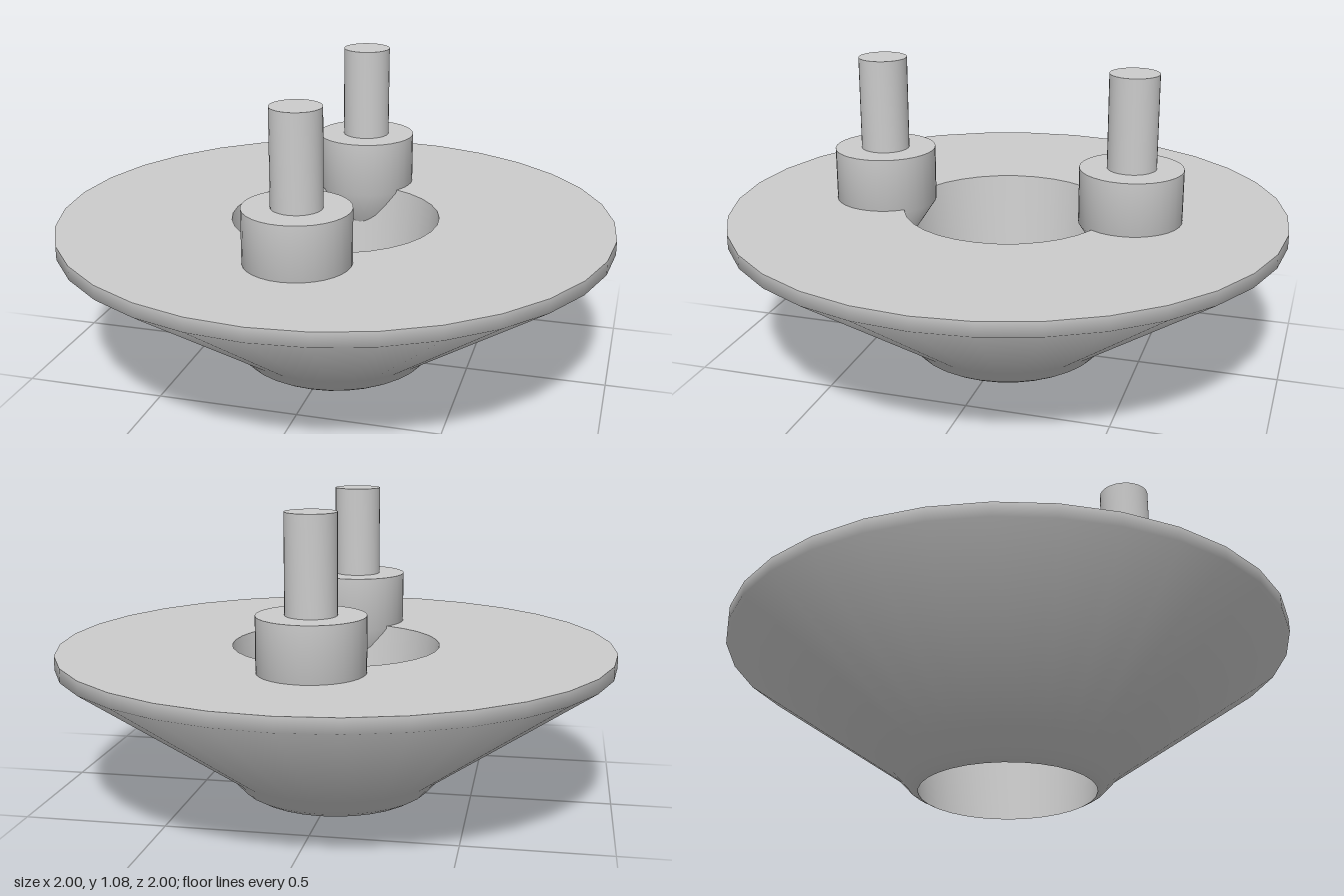
import * as THREE from 'three';
import { toCreasedNormals } from 'three/addons/utils/BufferGeometryUtils.js';

const material = new THREE.MeshStandardMaterial({ color: 0xcccccc });

// Revolve a profile of [radius, height] points, keeping sharp corners crisp
function turned(name, profile, segments = 32) {
  const points = profile.map(([r, y]) => new THREE.Vector2(r, y));
  const geometry = toCreasedNormals(new THREE.LatheGeometry(points, segments), 1.1);
  const mesh = new THREE.Mesh(geometry, material);
  mesh.name = name;
  return mesh;
}

export function createModel() {
  const group = new THREE.Group();
  group.name = 'flangedCone';

  // Conical disc with a tapered through-hole
  group.add(turned('coneBody', [
    [0.375, 0.55], [0.31, 0],
    [0.32, 0.005], [0.345, 0.02], [0.4, 0.08],
    [1, 0.5], [1, 0.55], [0.375, 0.55],
  ]));

  // Two stepped pins, each with a collar and a pointed lower end
  const pinProfile = [
    [0, 0.26], [0.183, 0.54], [0.183, 0.74],
    [0.087, 0.74], [0.087, 1.075], [0, 1.075],
  ];
  for (const [name, z] of [['frontPin', 0.47], ['backPin', -0.45]]) {
    const pin = turned(name, pinProfile);
    pin.position.z = z;
    group.add(pin);
  }

  return group;
}
